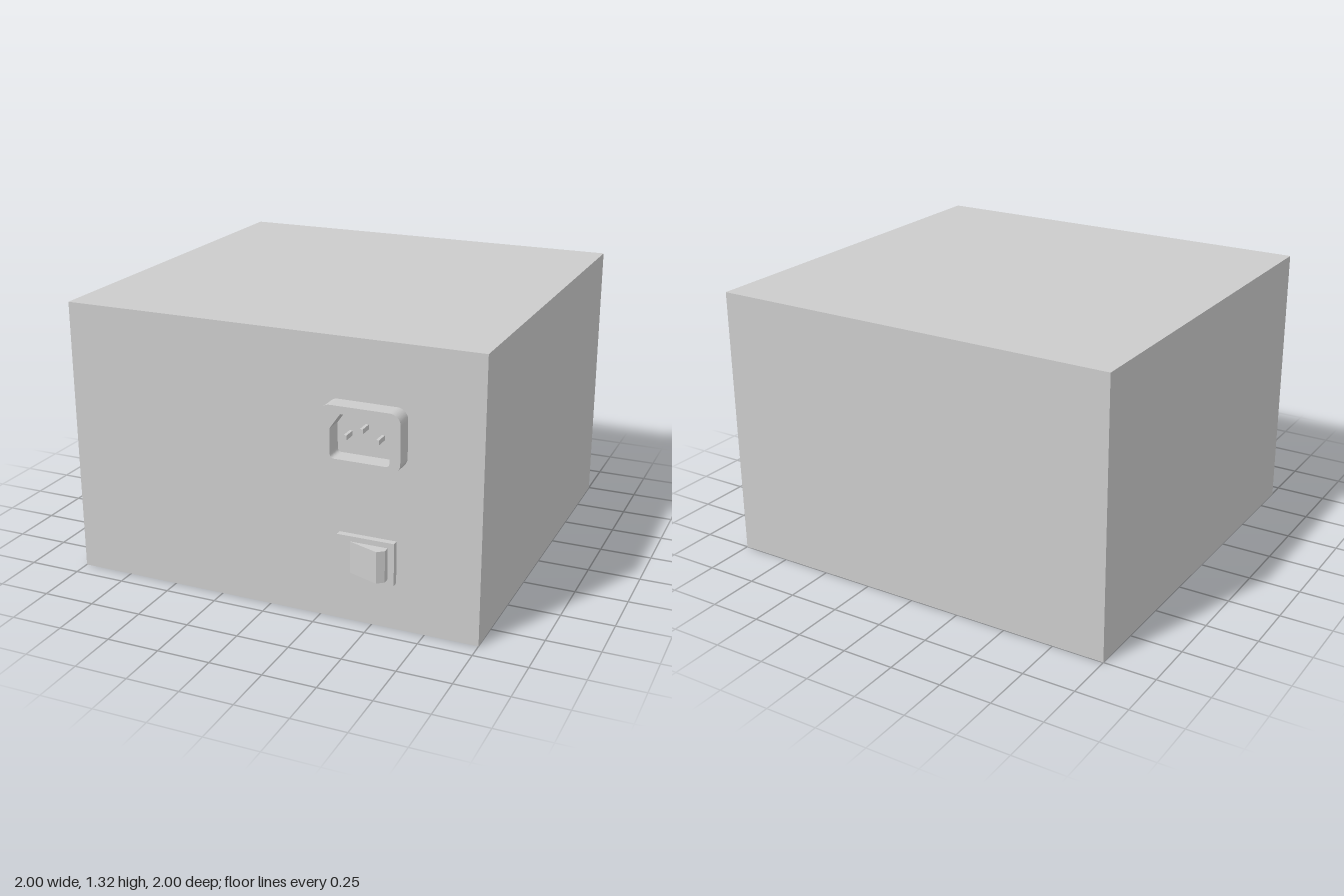
import * as THREE from 'three';

const material = new THREE.MeshStandardMaterial({ color: 0xcccccc });
const W = 2, H = 1.32, BACK = -1, FRONT = 0.915, WALL = 0.04;
const D = FRONT - BACK, MID = (FRONT + BACK) / 2;

function add(parent, name, geometry, x = 0, y = 0, z = 0) {
  const mesh = new THREE.Mesh(geometry, material);
  mesh.name = name;
  mesh.position.set(x, y, z);
  parent.add(mesh);
  return mesh;
}

const polygon = (points) => new THREE.Shape(points.map(([x, y]) => new THREE.Vector2(x, y)));

function roundedRect(w, h, r) {
  const s = new THREE.Shape(), x = w / 2, y = h / 2;
  s.absarc(x - r, y - r, r, 0, Math.PI / 2);
  s.absarc(-x + r, y - r, r, Math.PI / 2, Math.PI);
  s.absarc(-x + r, -y + r, r, Math.PI, Math.PI * 1.5);
  s.absarc(x - r, -y + r, r, Math.PI * 1.5, Math.PI * 2);
  s.closePath();
  return s;
}

const rect = (w, h) => polygon([[-w / 2, -h / 2], [w / 2, -h / 2], [w / 2, h / 2], [-w / 2, h / 2]]);

const extrude = (shape, depth) =>
  new THREE.ExtrudeGeometry(shape, { depth, bevelEnabled: false, curveSegments: 10 });

// Extrusion that rises along y instead of z
const extrudeUp = (shape, height) => extrude(shape, height).rotateX(-Math.PI / 2);

function createCase() {
  const group = new THREE.Group();
  group.name = 'case';

  // Floor with four rings of eight curved vent slots
  const floor = rect(W, D);
  const gap = 0.095;
  for (const [inner, outer] of [[0.257, 0.337], [0.415, 0.496], [0.595, 0.675], [0.757, 0.835]]) {
    for (let i = 0; i < 8; i++) {
      const start = i * Math.PI / 4 + gap, end = (i + 1) * Math.PI / 4 - gap;
      const slot = new THREE.Path();
      slot.absarc(0, 0, outer, start, end, false);
      slot.absarc(0, 0, inner, end, start, true);
      slot.closePath();
      floor.holes.push(slot);
    }
  }
  add(group, 'ventedFloor', extrudeUp(floor, WALL), 0, 0, MID);

  // Hollow walls and lid
  const walls = rect(W, D);
  walls.holes.push(rect(W - 2 * WALL, D - 2 * WALL));
  add(group, 'walls', extrudeUp(walls, H - 2 * WALL), 0, WALL, MID);
  add(group, 'lid', new THREE.BoxGeometry(W, WALL, D), 0, H - WALL / 2, MID);
  return group;
}

function createSocket() {
  const group = new THREE.Group();
  group.name = 'powerSocket';
  group.position.set(0.475, 0.905, FRONT);

  // Rounded surround with a cavity chamfered at its upper corners
  const surround = roundedRect(0.37, 0.27, 0.05);
  const cavity = new THREE.Path();
  cavity.moveTo(-0.115, -0.105);
  cavity.lineTo(0.115, -0.105);
  cavity.quadraticCurveTo(0.137, -0.105, 0.137, -0.083);
  cavity.lineTo(0.137, 0.03);
  cavity.lineTo(0.088, 0.1);
  cavity.lineTo(-0.088, 0.1);
  cavity.lineTo(-0.137, 0.03);
  cavity.lineTo(-0.137, -0.083);
  cavity.quadraticCurveTo(-0.137, -0.105, -0.115, -0.105);
  surround.holes.push(cavity);
  add(group, 'socketSurround', extrude(surround, 0.085));

  // Three contact pins
  for (const [x, y] of [[-0.074, -0.01], [0, 0.028], [0.074, -0.01]]) {
    add(group, 'contactPin', new THREE.BoxGeometry(0.014, 0.022, 0.065), x, y, 0.0325);
  }
  return group;
}

function createSwitch() {
  const group = new THREE.Group();
  group.name = 'powerSwitch';
  group.position.set(0.48, 0.325, FRONT);
  add(group, 'switchFrame', new THREE.BoxGeometry(0.27, 0.2, 0.03), 0, 0, 0.015);

  // Tilted rocker: profile in x and z, extruded along y
  const profile = polygon([[-0.07, -0.02], [0.105, -0.02], [0.105, -0.06], [0.075, -0.085], [-0.07, -0.032]].reverse());
  add(group, 'rocker', extrudeUp(profile, 0.15), 0, -0.075, 0).scale.z = 1;
  return group;
}

export function createModel() {
  const model = new THREE.Group();
  model.name = 'powerSupply';
  model.add(createCase(), createSocket(), createSwitch());
  return model;
}
